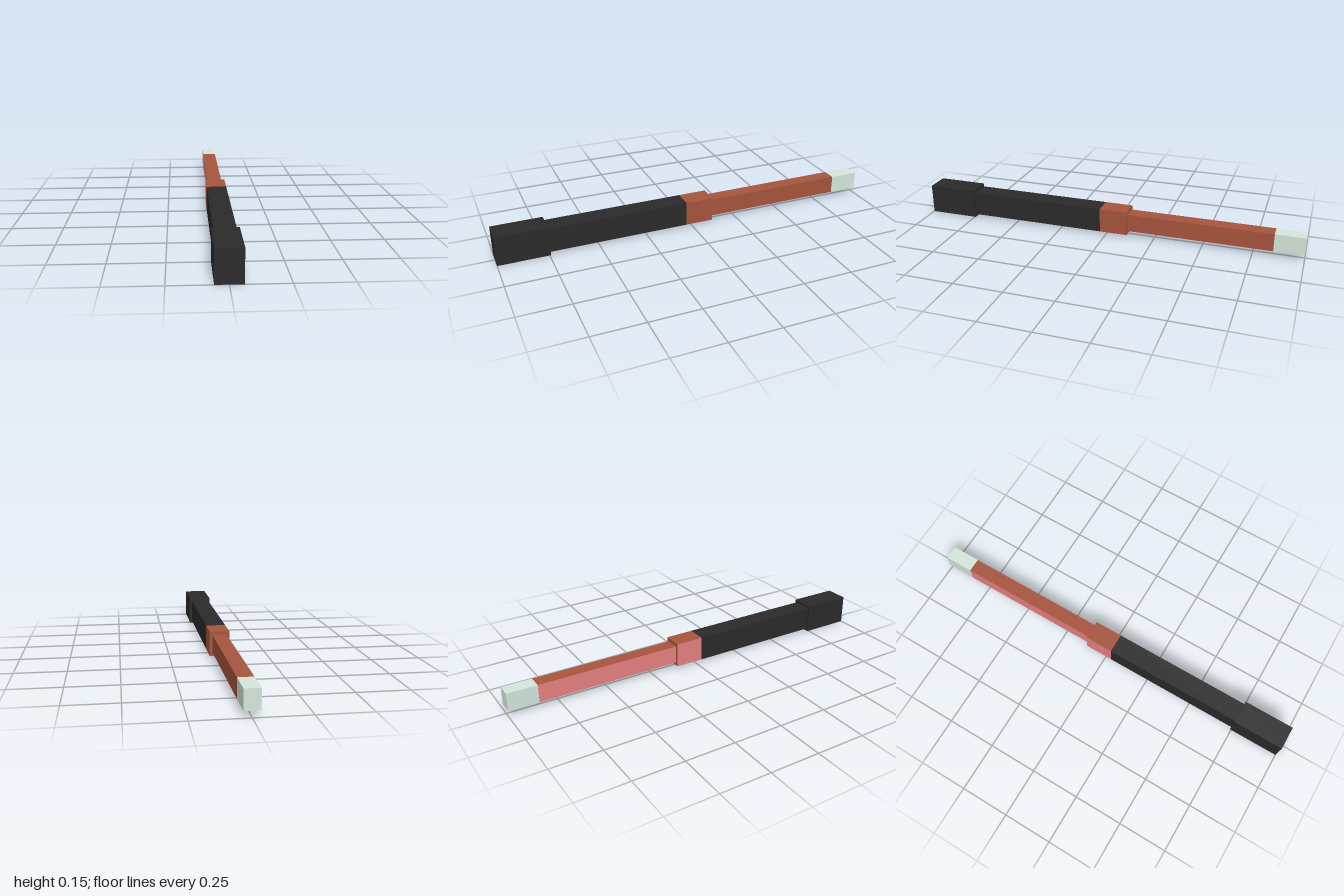
import * as THREE from 'three';

const material = (name, color) => {
  const m = new THREE.MeshStandardMaterial({ color });
  m.name = name;
  return m;
};

export function createModel() {
  const group = new THREE.Group();
  const black = material('black grip', 0x2a2a2a);
  const brown = material('red brown', 0xa6543d);
  const rose = material('dusty rose', 0xe68080);
  const pale = material('pale green grey', 0xd3e6da);

  // Square bar section from z0 to z1; the right (-x) face may have its own colour
  const section = (name, width, y0, y1, z0, z1, mat, rightMat = mat) => {
    const geometry = new THREE.BoxGeometry(width, y1 - y0, z1 - z0);
    const mesh = new THREE.Mesh(geometry, [mat, rightMat, mat, mat, mat, mat]);
    mesh.name = name;
    mesh.position.set(0, (y0 + y1) / 2, (z0 + z1) / 2);
    group.add(mesh);
  };

  // Handle: pommel, grip and collar
  section('pommel', 0.12, 0, 0.151, 0.744, 1, black);
  section('grip', 0.1, 0.013, 0.138, 0.032, 0.744, black);
  section('collar', 0.1, 0.013, 0.138, -0.113, 0.032, brown, rose);

  // Slim shaft with a pale tip
  section('shaft', 0.072, 0.03, 0.121, -0.85, -0.113, brown, rose);
  section('tip', 0.072, 0.03, 0.121, -1, -0.85, pale);

  return group;
}
